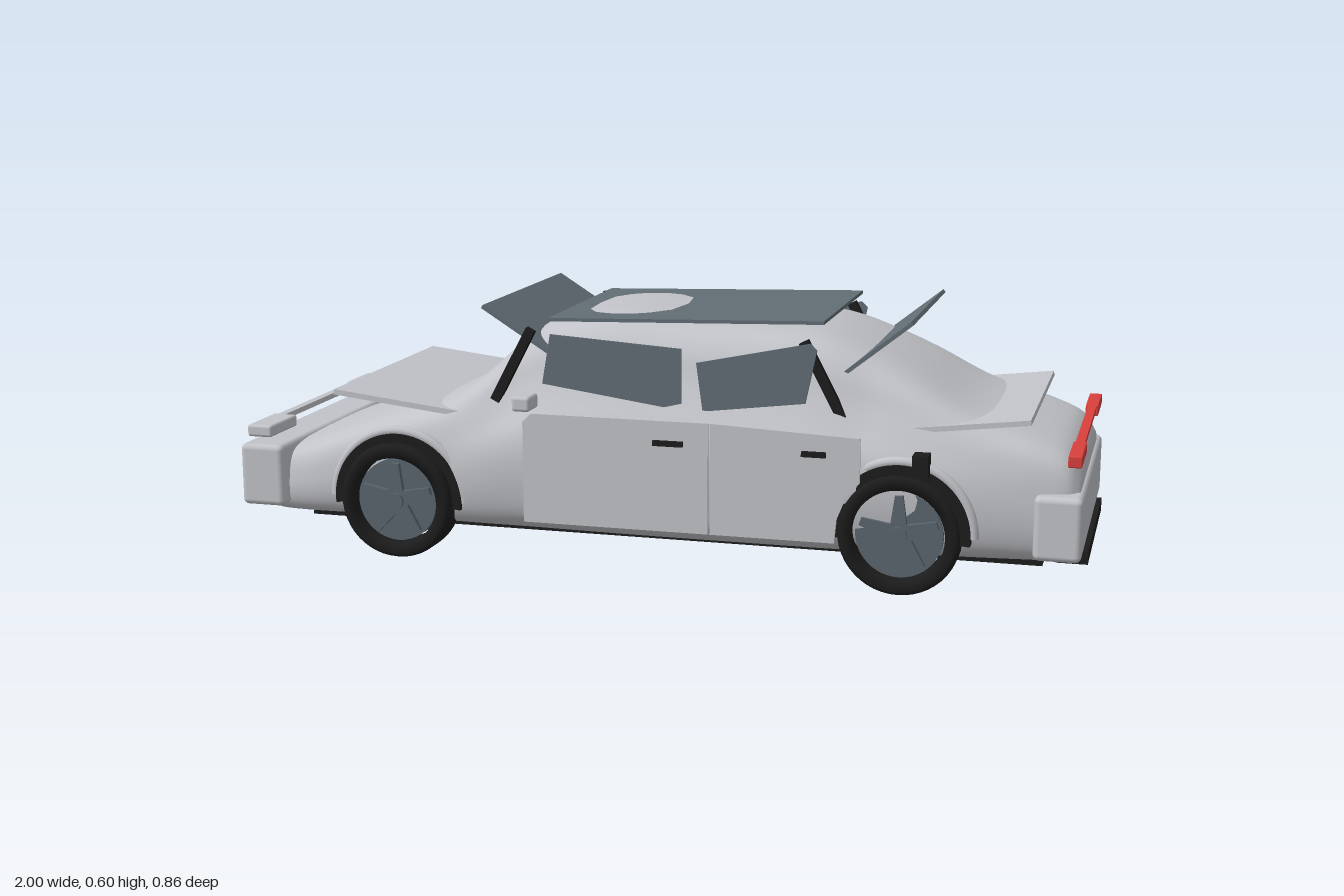
import * as THREE from 'three';
import { RoundedBoxGeometry } from 'three/addons/geometries/RoundedBoxGeometry.js';

const material = (name, color, side = THREE.FrontSide) =>
  Object.assign(new THREE.MeshStandardMaterial({ color, side }), { name });

// Stations along the car: x, roof height, half width
const STATIONS = [
  [-0.97, 0.2, 0.27], [-0.93, 0.235, 0.31], [-0.85, 0.255, 0.325], [-0.72, 0.305, 0.33],
  [-0.6, 0.345, 0.338], [-0.5, 0.375, 0.348], [-0.42, 0.43, 0.355], [-0.31, 0.53, 0.36],
  [-0.22, 0.567, 0.365], [-0.1, 0.583, 0.37], [0.02, 0.578, 0.372], [0.2, 0.572, 0.372],
  [0.385, 0.558, 0.37], [0.5, 0.52, 0.365], [0.6, 0.475, 0.358], [0.73, 0.405, 0.345],
  [0.87, 0.36, 0.325], [0.95, 0.325, 0.31], [0.98, 0.28, 0.29],
];
// Upper half-sections (width fraction, height fraction): cabin and bonnet
const CABIN = [[1, 0], [0.97, 0.22], [0.87, 0.42], [0.79, 0.6], [0.73, 0.78], [0.62, 0.92], [0.4, 0.985], [0, 1]];
const DECK = [[1, 0], [0.99, 0.3], [0.97, 0.55], [0.93, 0.75], [0.86, 0.87], [0.72, 0.95], [0.4, 0.99], [0, 1]];
const LOWER = [[0, -1], [0.6, -1], [0.8, -0.97], [0.93, -0.8], [0.98, -0.5]];

// Closed cross-section, running from the bottom up the +z side and down the -z side
function bodyRing([x, top, width]) {
  const floor = 0.072, belt = floor + (top - floor) * 0.38;
  const k = THREE.MathUtils.clamp((top - 0.36) / 0.16, 0, 1);
  const half = [
    ...LOWER.map(([w, h]) => [w * width, belt + h * (belt - floor)]),
    ...CABIN.map(([w, h], i) => [
      THREE.MathUtils.lerp(DECK[i][0], w, k) * width,
      belt + THREE.MathUtils.lerp(DECK[i][1], h, k) * (top - belt),
    ]),
  ];
  const curve = new THREE.CatmullRomCurve3(half.map(([z, y]) => new THREE.Vector3(x, y, z)), false, 'centripetal');
  const pts = curve.getPoints(36);
  return [...pts, ...pts.slice(1, -1).reverse().map((p) => new THREE.Vector3(p.x, p.y, -p.z))];
}

function bodyGeometry() {
  const top = new THREE.CatmullRomCurve3(STATIONS.map(([x, y, w]) => new THREE.Vector3(x, y, w)), false, 'centripetal');
  const rings = top.getPoints(72).map((p) => bodyRing([p.x, p.y, p.z]));
  const n = rings[0].length, last = rings.length - 1;
  const pos = rings.flat().flatMap((p) => [p.x, p.y, p.z]);
  const index = [];
  for (let i = 0; i < last; i++)
    for (let j = 0; j < n; j++) {
      const a = i * n + j, d = i * n + ((j + 1) % n);
      index.push(a, a + n, d + n, a, d + n, d);
    }
  // End caps
  const c = pos.length / 3;
  pos.push(rings[0][0].x, 0.14, 0, rings[last][0].x, 0.17, 0);
  for (let j = 0; j < n; j++) {
    const k = (j + 1) % n;
    index.push(c, j, k, c + 1, last * n + k, last * n + j);
  }
  const geo = new THREE.BufferGeometry();
  geo.setAttribute('position', new THREE.Float32BufferAttribute(pos, 3));
  geo.setIndex(index);
  geo.computeVertexNormals();
  return geo;
}

export function createModel() {
  const car = new THREE.Group();
  car.name = 'car';
  const paint = material('silver paint', 0xc2c3c8);
  const glass = material('tinted glass', 0x616d74);
  const metal = material('rim metal', 0x59656c);
  const black = material('black trim', 0x1c1c1d, THREE.DoubleSide);
  const red = material('red lamp', 0xd8403c);

  const add = (name, geo, mat, x = 0, y = 0, z = 0, parent = car) => {
    const mesh = new THREE.Mesh(geo, mat);
    mesh.name = name;
    mesh.position.set(x, y, z);
    parent.add(mesh);
    return mesh;
  };
  // Box given by its minimum and maximum corners
  const box = (name, mat, x0, x1, y0, y1, z0, z1, r = 0) => {
    const s = [x1 - x0, y1 - y0, z1 - z0];
    const geo = r ? new RoundedBoxGeometry(...s, 3, r) : new THREE.BoxGeometry(...s);
    return add(name, geo, mat, (x0 + x1) / 2, (y0 + y1) / 2, (z0 + z1) / 2);
  };
  // Flat slab running between two points in the side plane
  const slab = (name, mat, x0, y0, x1, y1, thick, halfWidth, z = 0) => {
    const geo = new THREE.BoxGeometry(Math.hypot(x1 - x0, y1 - y0), thick, halfWidth * 2);
    const mesh = add(name, geo, mat, (x0 + x1) / 2, (y0 + y1) / 2, z);
    mesh.rotation.z = Math.atan2(y1 - y0, x1 - x0);
    return mesh;
  };
  // Thin side plate cut from an outline
  const plate = (name, mat, shape, s, z, depth = 0.006) => add(name,
    new THREE.ExtrudeGeometry(shape, { depth, bevelEnabled: false }), mat, 0, 0, s > 0 ? z : -z - depth);
  const outline = (pts) => new THREE.Shape(pts.map(([x, y]) => new THREE.Vector2(x, y)));

  add('body', bodyGeometry(), paint);
  box('floorPan', black, -0.87, 0.9, 0.055, 0.075, -0.235, 0.235);
  box('rearLowerTrim', black, 0.93, 1, 0.07, 0.1, -0.25, 0.25);
  box('frontBumper', paint, -1, -0.89, 0.1, 0.25, -0.355, 0.355, 0.014);
  box('rearBumper', paint, 0.885, 0.99, 0.095, 0.24, -0.345, 0.345, 0.014);

  // Panels and glass
  slab('bonnetPanel', paint, -0.77, 0.38, -0.42, 0.34, 0.013, 0.31);
  slab('bootPanel', paint, 0.57, 0.358, 0.87, 0.394, 0.012, 0.305);
  slab('roofPanel', glass, -0.25, 0.566, 0.4, 0.585, 0.008, 0.25);
  slab('windscreen', glass, -0.4, 0.596, -0.15, 0.44, 0.009, 0.285);
  slab('rearWindow', glass, 0.6, 0.594, 0.4, 0.435, 0.009, 0.265);

  // Lamps
  box('headlampBar', paint, -0.985, -0.965, 0.275, 0.288, -0.22, 0.22);
  box('tailLampBar', red, 0.96, 0.98, 0.324, 0.336, -0.21, 0.21);

  // Outlines shared by both sides
  const frontWindow = outline([[-0.22, 0.545], [-0.24, 0.43], [0.05, 0.39], [0.09, 0.4], [0.09, 0.525]]);
  const rearSideWindow = outline([[0.125, 0.495], [0.14, 0.385], [0.375, 0.415], [0.4, 0.535], [0.385, 0.55]]);
  const frontDoor = outline([[-0.27, 0.115], [0.167, 0.115], [0.167, 0.37], [-0.25, 0.37], [-0.27, 0.35]]);
  const rearDoor = outline([[0.171, 0.115], [0.455, 0.115], [0.46, 0.17], [0.48, 0.22], [0.51, 0.255], [0.51, 0.355], [0.171, 0.37]]);
  const fuelCap = outline([[0.625, 0.275], [0.66, 0.275], [0.66, 0.325], [0.625, 0.325]]);

  for (const s of [1, -1]) {
    plate('frontSideWindow', glass, frontWindow, s, 0.322);
    plate('rearSideWindow', glass, rearSideWindow, s, 0.322);
    plate('frontDoor', paint, frontDoor, s, 0.378);
    plate('rearDoor', paint, rearDoor, s, 0.378);
    slab('frontPillar', black, -0.365, 0.38, -0.275, 0.55, 0.022, 0.009, s * 0.3);
    slab('rearPillar', black, 0.365, 0.55, 0.455, 0.38, 0.022, 0.009, s * 0.3);
    for (const [x0, x1, y] of [[0.04, 0.11, 0.32], [0.38, 0.435, 0.315]]) {
      const z = s * 0.387;
      box('doorHandle', black, x0, x1, y - 0.006, y + 0.006, z - 0.006, z + 0.006);
    }
    const span = (a, b) => (s > 0 ? [a, b] : [-b, -a]);
    box('wingMirror', paint, -0.28, -0.237, 0.382, 0.417, ...span(0.365, 0.43), 0.008);
    box('headlamp', paint, -0.98, -0.917, 0.268, 0.297, ...span(0.21, 0.352), 0.007);
    box('tailLamp', red, 0.955, 0.985, 0.312, 0.338, ...span(0.205, 0.358), 0.003);
  }
  plate('fuelCap', black, fuelCap, 1, 0.345, 0.045);

  // Wheels: tyre profile as radius and axial offset
  const tyre = new THREE.LatheGeometry([
    [0.104, -0.043], [0.125, -0.045], [0.134, -0.04], [0.138, -0.028],
    [0.138, 0.028], [0.134, 0.04], [0.125, 0.045], [0.104, 0.043], [0.104, -0.043],
  ].map(([r, y]) => new THREE.Vector2(r, y)), 48);
  tyre.rotateX(Math.PI / 2);
  const disc = (r, depth) => new THREE.CylinderGeometry(r, r, depth, 40).rotateX(Math.PI / 2);
  const spoke = outline([[-0.02, 0.01], [0.02, 0.01], [0.009, 0.09], [-0.009, 0.09]]);
  const spokeGeo = new THREE.ExtrudeGeometry(spoke, { depth: 0.012, bevelEnabled: false });
  const arch = new THREE.Shape();
  arch.absarc(0, 0, 0.158, -0.1, Math.PI + 0.1, false);
  arch.absarc(0, 0, 0.13, Math.PI + 0.1, -0.1, true);
  const archGeo = new THREE.ExtrudeGeometry(arch, { depth: 0.06, bevelEnabled: false, curveSegments: 32 });

  for (const x of [-0.595, 0.595])
    for (const s of [1, -1]) {
      const wheel = new THREE.Group();
      wheel.name = x < 0 ? 'frontWheel' : 'rearWheel';
      wheel.position.set(x, 0.138, s * 0.33);
      if (s < 0) wheel.rotation.y = Math.PI;
      add('tyre', tyre, black, 0, 0, 0, wheel);
      add('rim', disc(0.098, 0.05), metal, 0, 0, 0, wheel);
      add('hub', disc(0.02, 0.02), metal, 0, 0, 0.034, wheel);
      for (let i = 0; i < 5; i++)
        add('spoke', spokeGeo, metal, 0, 0, 0.025, wheel).rotation.z = (i * Math.PI * 2) / 5;
      add('archLiner', archGeo, black, 0, 0, x < 0 ? -0.035 : -0.025, wheel);
      const lip = new THREE.TorusGeometry(0.163, 0.012, 10, 40, Math.PI);
      add('archLip', lip, paint, 0, 0, x < 0 ? 0.008 : 0.018, wheel);
      car.add(wheel);
    }
  return car;
}
